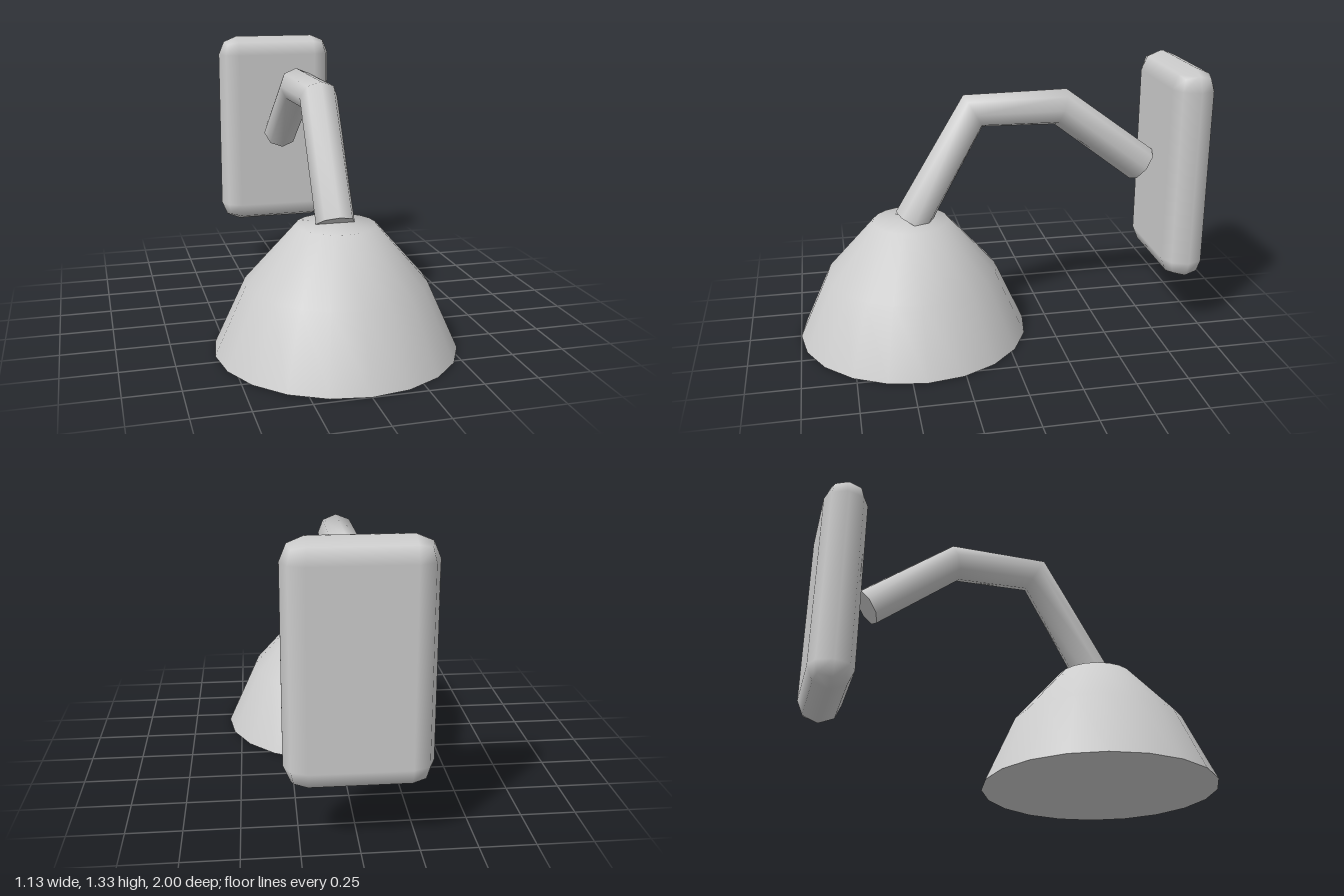
import * as THREE from 'three';
import { RoundedBoxGeometry } from 'three/addons/geometries/RoundedBoxGeometry.js';

// Octagonal tube through (z, y) points, with a ring at each bend and closed ends
function bentTube(points, radius, sides) {
  const pos = [], index = [];
  const path = points.map(([z, y]) => new THREE.Vector2(z, y));
  const last = path.length - 1;
  path.forEach((p, i) => {
    const dirIn = path[Math.max(i, 1)].clone().sub(path[Math.max(i, 1) - 1]).normalize();
    const j = Math.min(i, last - 1);
    const dir = path[j + 1].clone().sub(path[j]).normalize().add(dirIn).normalize();
    for (let s = 0; s < sides; s++) {
      const a = (s / sides) * Math.PI * 2;
      const up = Math.cos(a) * radius;
      // the ring's up axis is perpendicular to the path in the z-y plane
      pos.push(Math.sin(a) * radius, p.y - dir.x * up, p.x + dir.y * up);
    }
  });
  for (let i = 0; i < last; i++) {
    for (let s = 0; s < sides; s++) {
      const t = (s + 1) % sides;
      const a = i * sides + s, b = i * sides + t, c = a + sides, d = b + sides;
      index.push(a, b, c, b, d, c);
    }
  }
  // End caps use their own vertices to stay sharp
  for (const [ring, flip] of [[0, true], [last, false]]) {
    const base = pos.length / 3;
    pos.push(...pos.slice(ring * sides * 3, (ring + 1) * sides * 3));
    for (let s = 1; s < sides - 1; s++) {
      if (flip) index.push(base, base + s + 1, base + s);
      else index.push(base, base + s, base + s + 1);
    }
  }
  const geo = new THREE.BufferGeometry();
  geo.setAttribute('position', new THREE.Float32BufferAttribute(pos, 3));
  geo.setIndex(index);
  geo.computeVertexNormals();
  return geo;
}

export function createModel() {
  const group = new THREE.Group();
  group.name = 'wallLamp';
  const grey = new THREE.MeshStandardMaterial({ color: 0xcccccc, side: THREE.DoubleSide });
  grey.name = 'lightGrey';

  const add = (name, geometry, x, y, z, parent = group) => {
    const mesh = new THREE.Mesh(geometry, grey);
    mesh.name = name;
    mesh.position.set(x, y, z);
    parent.add(mesh);
    return mesh;
  };

  // Bell-shaped shade with a flat top and closed base
  const shade = new THREE.Group();
  shade.name = 'shade';
  group.add(shade);
  const profile = [[0.565, 0], [0.42, 0.32], [0.185, 0.585], [0, 0.585]]
    .map(([r, y]) => new THREE.Vector2(r, y));
  add('shadeShell', new THREE.LatheGeometry(profile, 20), 0, 0, 0.435, shade);
  const base = add('shadeBase', new THREE.CircleGeometry(0.565, 20), 0, 0, 0.435, shade);
  base.rotation.x = Math.PI / 2;

  // Bent arm from the shade to the wall plate
  const armPath = [[0.425, 0.585], [0.12, 1.118], [-0.31, 1.118], [-0.735, 0.8]];
  add('arm', bentTube(armPath, 0.092, 8), 0, 0, 0);

  // Rounded wall plate
  add('wallPlate', new RoundedBoxGeometry(0.632, 1.06, 0.21, 1, 0.1), 0, 0.8, -0.895);

  return group;
}
